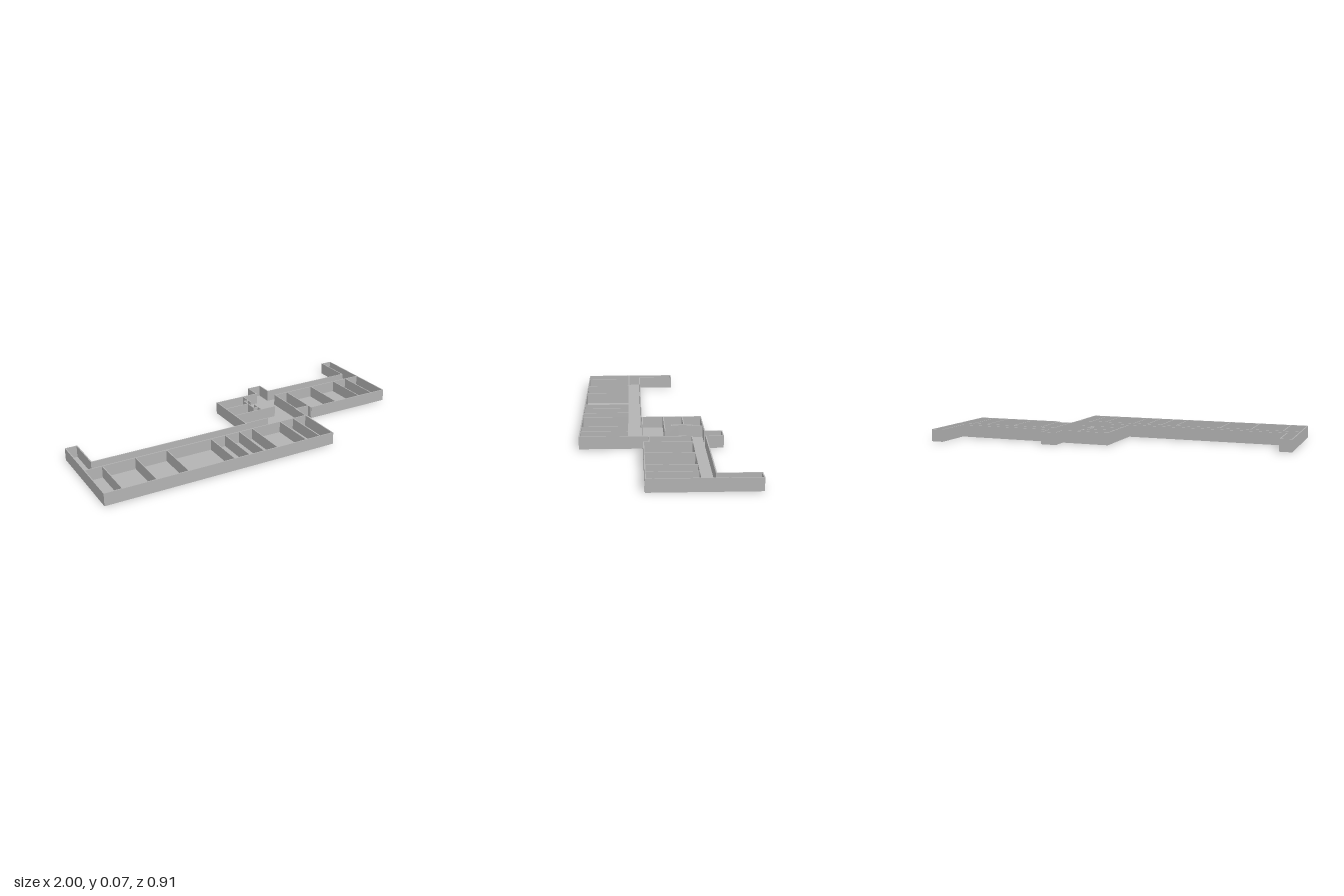
import * as THREE from 'three';

const HEIGHT = 0.07, FLOOR = 0.005, T = 0.006;

// Shape lies in XY with y = -z, so it can be extruded and turned flat.
const toShape = (pts, Kind = THREE.Shape) => new Kind(pts.map(([x, z]) => new THREE.Vector2(x, -z)));

// Moves each corner of a right-angled, counter-clockwise (from above) outline inwards.
function inset(pts, d) {
  const n = pts.length;
  const normal = (a, b) => {
    const l = Math.hypot(b[0] - a[0], b[1] - a[1]);
    return [(b[1] - a[1]) / l, -(b[0] - a[0]) / l];
  };
  return pts.map((p, i) => {
    const a = normal(pts[(i + n - 1) % n], p), b = normal(p, pts[(i + 1) % n]);
    return [p[0] + (a[0] + b[0]) * d, p[1] + (a[1] + b[1]) * d];
  });
}

export function createModel() {
  const model = new THREE.Group();
  model.name = 'floorPlan';
  const grey = new THREE.MeshStandardMaterial({ color: 0xb3b3b3 });
  grey.name = 'plaster grey';

  const add = (name, geometry, parent = model) => {
    const mesh = new THREE.Mesh(geometry, grey);
    mesh.name = name;
    parent.add(mesh);
    return mesh;
  };
  const slab = (name, shape, depth, y) => {
    const g = new THREE.ExtrudeGeometry(shape, { depth, bevelEnabled: false });
    g.rotateX(-Math.PI / 2);
    g.translate(0, y, 0);
    return add(name, g);
  };

  // Footprint shared by floor and outer wall; the porch is the only difference
  const outline = (porch) => [
    [-1, 0.455], [0.365, 0.455], [0.365, porch],
    ...(porch === 0.11 ? [] : [[0.455, porch], [0.455, 0.11]]),
    [1, 0.11], [1, -0.455], [0.93, -0.455], [0.93, -0.235], [0.365, -0.235],
    [0.365, -0.33], [0.275, -0.33], [0.275, -0.235], [0, -0.235],
    [0, 0.11], [-0.93, 0.11], [-0.93, -0.105], [-1, -0.105],
  ];
  slab('floor', toShape(outline(0.11)), FLOOR, 0);

  // Outer wall with the recessed porch
  const wallLine = outline(0.08);
  const ring = toShape(wallLine);
  ring.holes.push(toShape(inset(wallLine, T), THREE.Path));
  slab('outerWall', ring, HEIGHT - FLOOR, FLOOR);

  // Inner walls along x or z
  const group = (name) => {
    const g = new THREE.Group();
    g.name = name;
    model.add(g);
    return g;
  };
  const wall = (parent, name, x0, z0, x1, z1) => {
    const h = HEIGHT - FLOOR;
    const g = new THREE.BoxGeometry(Math.max(x1 - x0, T), h, Math.max(z1 - z0, T));
    add(name, g, parent).position.set((x0 + x1) / 2, FLOOR + h / 2, (z0 + z1) / 2);
  };

  // Long left wing: corridor wall and room partitions
  const leftWing = group('leftWing');
  wall(leftWing, 'corridorWall', -0.997, 0.185, 0.362, 0.185);
  wall(leftWing, 'corridorBackWall', 0, 0.107, 0.15, 0.107);
  for (const x of [-0.9, -0.715, -0.535, -0.265, -0.175, -0.085, 0, 0.185, 0.275])
    wall(leftWing, 'partition', x, 0.185, x, 0.452);

  // Right wing: corridor wall and room partitions
  const rightWing = group('rightWing');
  wall(rightWing, 'corridorWall', 0.365, -0.157, 0.997, -0.157);
  wall(rightWing, 'endWall', 0.368, -0.157, 0.368, 0.11);
  for (const x of [0.455, 0.635, 0.81, 0.905])
    wall(rightWing, 'partition', x, -0.157, x, 0.107);

  // Central block: rooms with a small closet
  const core = group('centralBlock');
  wall(core, 'frontRoomWall', 0.003, -0.015, 0.275, -0.015);
  wall(core, 'middleWall', 0.003, -0.125, 0.155, -0.125);
  wall(core, 'closetBack', 0.155, -0.17, 0.155, -0.056);
  wall(core, 'closetSide', 0.155, -0.17, 0.185, -0.17);
  wall(core, 'closetSide', 0.155, -0.056, 0.185, -0.056);
  wall(core, 'hallWallRear', 0.183, -0.232, 0.183, -0.14);
  wall(core, 'hallWallFront', 0.183, -0.095, 0.183, -0.015);

  return model;
}
